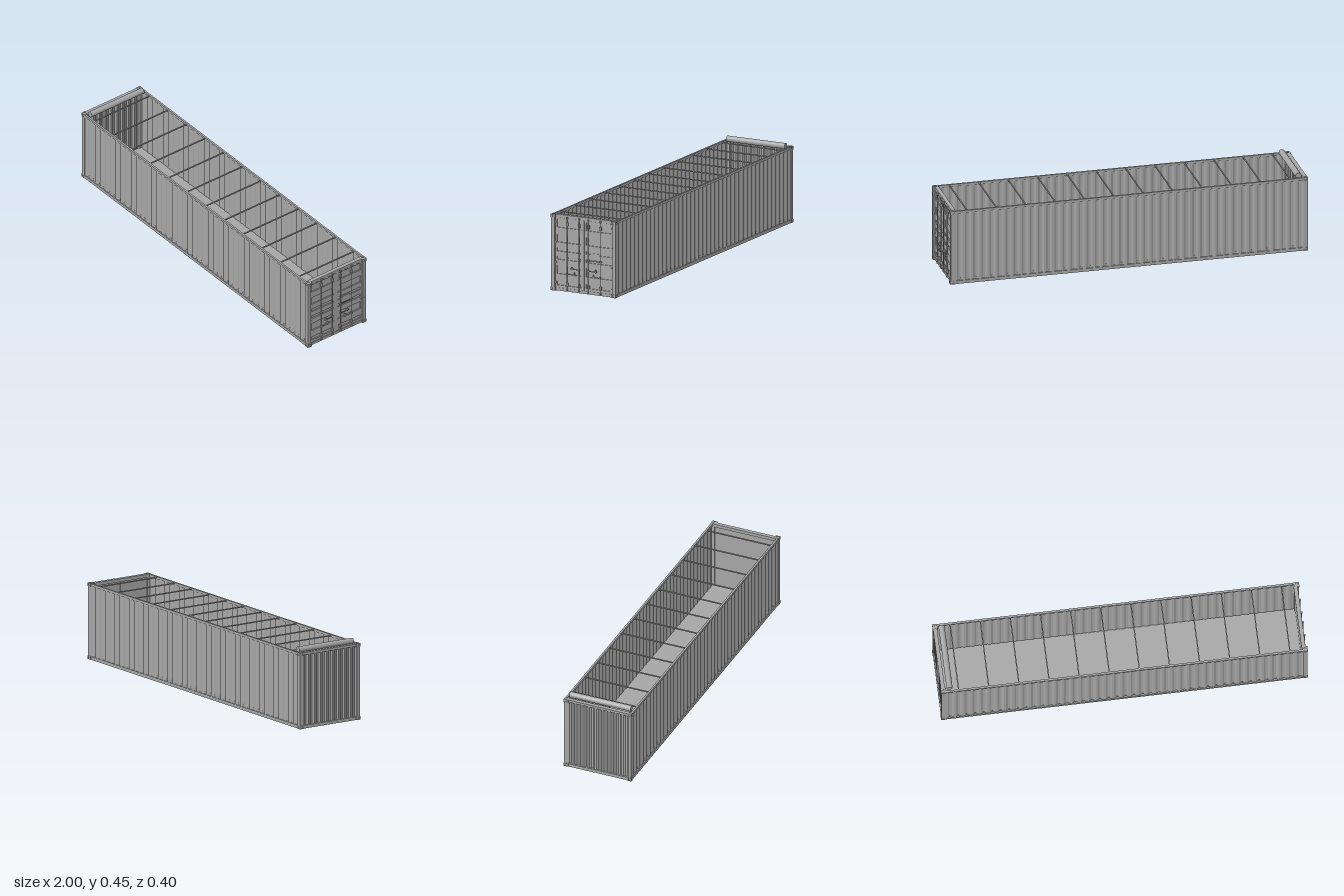
import * as THREE from 'three';

const steel = new THREE.MeshStandardMaterial({ color: 0xa6a6a6 });
steel.name = 'grey steel';

function add(parent, name, geometry, x = 0, y = 0, z = 0) {
  const mesh = new THREE.Mesh(geometry, steel);
  mesh.name = name;
  mesh.position.set(x, y, z);
  parent.add(mesh);
  return mesh;
}
const box = (parent, name, w, h, d, x, y, z) =>
  add(parent, name, new THREE.BoxGeometry(w, h, d), x, y, z);

// Rectangle outline between two corners
function rect(Type, x0, y0, x1, y1) {
  const p = new Type();
  p.moveTo(x0, y0);
  p.lineTo(x1, y0);
  p.lineTo(x1, y1);
  p.lineTo(x0, y1);
  p.closePath();
  return p;
}
const extrude = (shape, depth) =>
  new THREE.ExtrudeGeometry(shape, { depth, bevelEnabled: false, curveSegments: 8 });

// Corrugated sheet standing on y = 0, running along x, outer crests at z = 0
function corrugatedSheet(length, count, depth, height) {
  const pitch = length / count, thick = 0.0015;
  const line = [];
  for (let i = 0; i < count; i++) {
    const x = -length / 2 + i * pitch;
    line.push([x, 0], [x + pitch * 0.26, 0], [x + pitch * 0.5, depth], [x + pitch * 0.76, depth]);
  }
  line.push([length / 2, 0]);
  const back = line.map(([x, y]) => [x, y + thick]).reverse();
  const shape = new THREE.Shape([...line, ...back].map(([x, y]) => new THREE.Vector2(x, y)));
  return extrude(shape, height).rotateX(-Math.PI / 2);
}

// Plate with an oval hole, centred, facing z
function holedPlate(w, h, rx, ry) {
  const shape = rect(THREE.Shape, -w / 2, -h / 2, w / 2, h / 2);
  shape.holes.push(new THREE.Path().absellipse(0, 0, rx, ry, 0, Math.PI * 2, true));
  return extrude(shape, 0.004).translate(0, 0, -0.002);
}

function cornerCasting(sx, sy, sz) {
  const g = new THREE.Group();
  g.name = 'cornerCasting';
  const w = 0.029, h = 0.019, d = 0.027;
  box(g, 'castingCore', w - 0.004, h - 0.004, d - 0.004, -sx * 0.002, -sy * 0.002, -sz * 0.002);
  add(g, 'castingSide', holedPlate(w, h, 0.008, 0.006), 0, 0, sz * (d / 2 - 0.002));
  add(g, 'castingEnd', holedPlate(d, h, 0.006, 0.007).rotateY(Math.PI / 2), sx * (w / 2 - 0.002), 0, 0);
  add(g, 'castingCap', holedPlate(w, d, 0.009, 0.006).rotateX(Math.PI / 2), 0, sy * (h / 2 - 0.002), 0);
  g.position.set(sx * (1 - w / 2), sy > 0 ? 0.425 - h / 2 : h / 2, sz * (0.2 - d / 2));
  return g;
}

// One door leaf with recessed panels, lock rods, handles and hinges; s is the side in z
function doorLeaf(s) {
  const g = new THREE.Group();
  g.name = s > 0 ? 'frontDoor' : 'rearDoor';
  const rows = [[0.352, 0.397], [0.27, 0.314], [0.22, 0.238], [0.174, 0.192], [0.094, 0.141], [0.031, 0.052]];
  const zs = (a, b) => [Math.min(-s * a, -s * b), Math.max(-s * a, -s * b)];
  const [l, r] = zs(0.001, 0.178);
  const [pl, pr] = zs(0.012, 0.169);
  const face = rect(THREE.Shape, l, 0.016, r, 0.405);
  for (const [a, b] of rows) face.holes.push(rect(THREE.Path, pl, a, pr, b));
  add(g, 'doorFace', extrude(face, 0.006).rotateY(Math.PI / 2), 0.982, 0, 0);
  box(g, 'doorBacking', 0.004, 0.389, 0.177, 0.98, 0.2105, s * 0.0895);
  for (const [a, b] of rows)
    box(g, 'panelEdge', 0.004, b - a, 0.007, 0.9835, (a + b) / 2, s * 0.0165);

  // Lock rods with guides and end cams
  for (const z of [0.028, 0.103]) {
    add(g, 'lockRod', new THREE.CylinderGeometry(0.0024, 0.0024, 0.404, 10), 0.9945, 0.213, s * z);
    for (const y of [0.04, 0.188, 0.375])
      box(g, 'rodGuide', 0.009, y === 0.188 ? 0.006 : 0.019, 0.012, 0.991, y, s * z);
    for (const y of [0.012, 0.412])
      box(g, 'rodCam', 0.01, 0.009, 0.008, 0.993, y, s * z);
  }
  // Handles reaching towards the middle of the leaf
  for (const [z0, z1, y] of [[0.028, 0.082, 0.13], [0.103, 0.05, 0.099]]) {
    const dir = Math.sign(z1 - z0);
    box(g, 'handleBar', 0.003, 0.004, Math.abs(z1 - z0), 0.996, y, s * (z0 + z1) / 2);
    box(g, 'handleHub', 0.008, 0.012, 0.007, 0.9945, y, s * z0);
    box(g, 'handleCatch', 0.009, 0.017, 0.005, 0.9925, y + 0.003, s * (z1 - dir * 0.009));
    box(g, 'handleRest', 0.007, 0.008, 0.014, 0.9905, y, s * (z1 - dir * 0.01));
  }
  // Hinges
  for (const y of [0.046, 0.158, 0.27, 0.381]) {
    add(g, 'hingePin', new THREE.CylinderGeometry(0.0025, 0.0025, 0.017, 8), 0.996, y, s * 0.187);
    box(g, 'hingeBlade', 0.003, 0.009, 0.02, 0.9895, y, s * 0.178);
  }
  return g;
}

export function createModel() {
  const model = new THREE.Group();
  model.name = 'openTopContainer';

  // Corner castings and posts
  for (const sx of [-1, 1]) for (const sz of [-1, 1]) {
    for (const sy of [-1, 1]) model.add(cornerCasting(sx, sy, sz));
    box(model, 'cornerPost', 0.024, 0.39, 0.02, sx * 0.986, 0.2125, sz * 0.189);
  }

  // Rails and corrugated side walls
  for (const s of [-1, 1]) {
    box(model, 'topRail', 1.95, 0.014, 0.011, 0, 0.417, s * 0.1935);
    box(model, 'bottomRail', 1.95, 0.018, 0.01, 0, 0.01, s * 0.194);
    const wall = add(model, 'sideWall', corrugatedSheet(1.95, 43, 0.006, 0.394), 0, 0.017, s * 0.197);
    if (s < 0) wall.rotation.y = Math.PI;
  }

  // Closed end with header and sill
  const end = add(model, 'endWall', corrugatedSheet(0.36, 9, 0.007, 0.394), -0.993, 0.017, 0);
  end.rotation.y = -Math.PI / 2;
  box(model, 'endHeader', 0.022, 0.014, 0.35, -0.987, 0.417, 0);
  box(model, 'endSill', 0.022, 0.018, 0.35, -0.987, 0.01, 0);

  // Door end frame and doors
  box(model, 'doorHeader', 0.022, 0.018, 0.35, 0.979, 0.416, 0);
  box(model, 'doorGutter', 0.012, 0.002, 0.35, 0.985, 0.406, 0);
  box(model, 'doorSill', 0.022, 0.016, 0.35, 0.979, 0.008, 0);
  for (const s of [-1, 1]) model.add(doorLeaf(s));
  box(model, 'dataPlate', 0.003, 0.04, 0.055, 0.9875, 0.21, -0.0675);
  box(model, 'rodTie', 0.003, 0.002, 0.07, 0.99, 0.187, -0.0655);

  // Floor and cross members
  box(model, 'floor', 1.96, 0.006, 0.384, 0, 0.029, 0);
  for (let i = 0; i < 22; i++)
    box(model, 'crossMember', 0.016, 0.022, 0.38, -0.935 + i * 0.0895, 0.016, 0);

  // Roof bows
  for (let i = 0; i < 12; i++)
    box(model, 'roofBow', 0.006, 0.006, 0.378, -0.903 + i * 0.1642, 0.418, 0);

  // Rolled cover at the closed end
  const roll = add(model, 'rolledCover', new THREE.CylinderGeometry(0.0165, 0.0165, 0.36, 24), -0.951, 0.4315, 0);
  roll.rotation.x = Math.PI / 2;

  return model;
}
